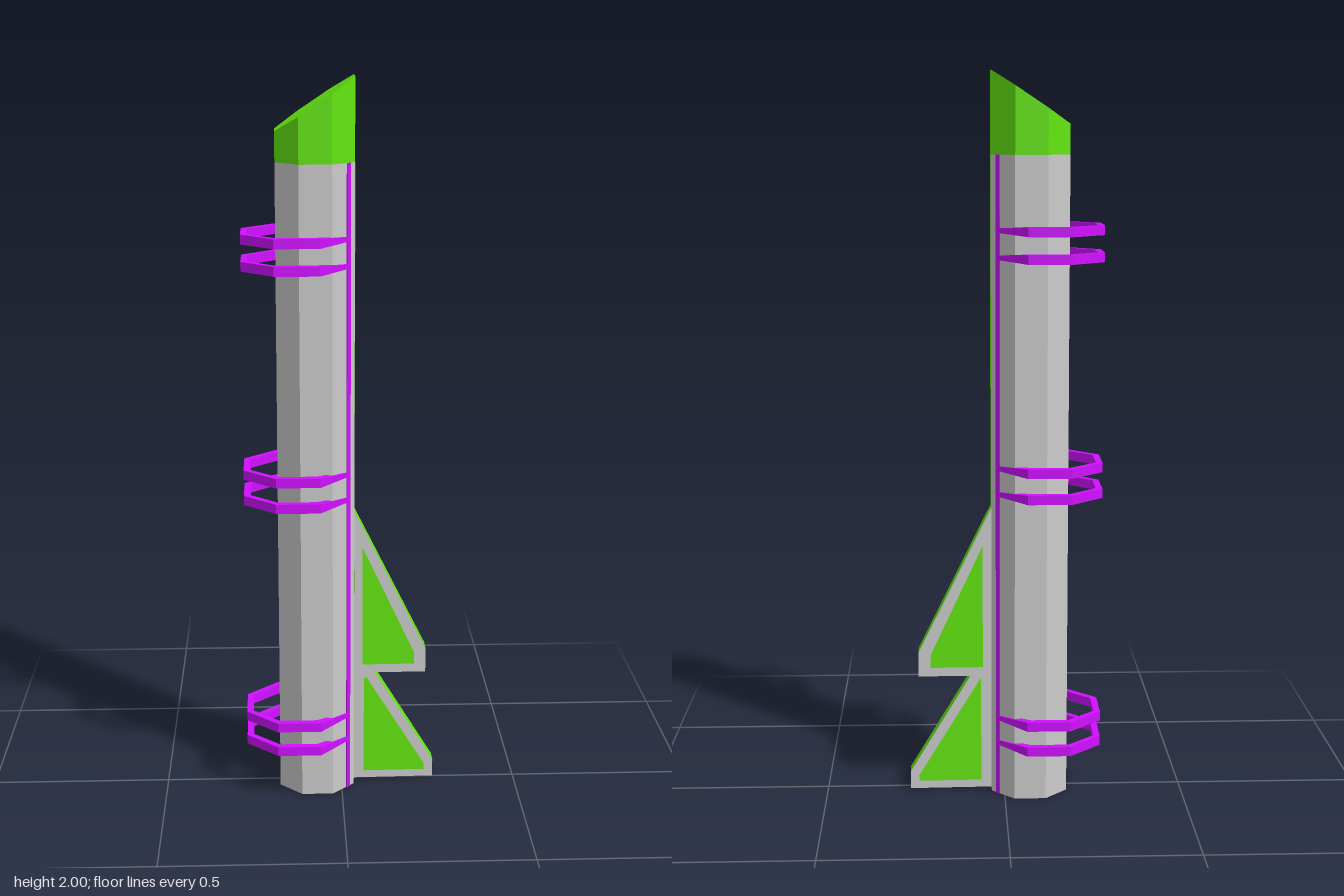
import * as THREE from 'three';

const CX = -0.07, CZ = -0.0025;      // tube axis
const APOTHEM = 0.1055;
const RADIUS = APOTHEM / Math.cos(Math.PI / 8);
const CAP_Y = 1.78;

const mat = (color) => new THREE.MeshStandardMaterial({ color, flatShading: true, side: THREE.DoubleSide });

function polygon(points) {
  return new THREE.Shape(points.map(([x, y]) => new THREE.Vector2(x, y)));
}

// Apply a rule to every vertex
function warp(geo, rule) {
  const p = geo.attributes.position, v = new THREE.Vector3();
  for (let i = 0; i < p.count; i++) {
    rule(v.fromBufferAttribute(p, i));
    p.setXYZ(i, v.x, v.y, v.z);
  }
  geo.computeVertexNormals();
  return geo;
}

// Octagonal prism with flats on the x and z axes
function octagon(y0, y1, open) {
  return new THREE.CylinderGeometry(RADIUS, RADIUS, y1 - y0, 8, 1, open)
    .rotateY(Math.PI / 8).translate(CX, (y0 + y1) / 2, CZ);
}

// Open octagonal band: a rectangular section swept around half outlines, thinner at the ends
function bandGeometry() {
  const half = [ // outer x, outer z, inner x, inner z, half height
    [0.022, 0.063, 0.010, 0.056, 0.006],
    [-0.06, 0.1465, -0.071, 0.126, 0.013],
    [-0.18, 0.1465, -0.175, 0.126, 0.013],
    [-0.268, 0.061, -0.25, 0.054, 0.013],
  ];
  const mirrored = half.map(([a, b, c, d, h]) => [a, -b, c, -d, h]).reverse();
  const sections = [...half, ...mirrored].map(([ox, oz, ix, iz, h]) => [
    [ox, h, oz + CZ], [ix, h, iz + CZ], [ix, -h, iz + CZ], [ox, -h, oz + CZ],
  ]);
  const pos = [];
  const quad = (a, b, c, d) => pos.push(...a, ...b, ...c, ...a, ...c, ...d);
  for (let i = 0; i < sections.length - 1; i++) {
    const s = sections[i], t = sections[i + 1];
    for (let j = 0; j < 4; j++) {
      const k = (j + 1) % 4;
      quad(s[j], s[k], t[k], t[j]);
    }
  }
  quad(...[...sections[0]].reverse());
  quad(...sections[sections.length - 1]);
  const geo = new THREE.BufferGeometry();
  geo.setAttribute('position', new THREE.Float32BufferAttribute(pos, 3));
  geo.computeVertexNormals();
  return geo;
}

export function createModel() {
  const model = new THREE.Group();
  model.name = 'finnedTube';
  const grey = mat(0xcccccc), green = mat(0x63e610), purple = mat(0xd010ff);

  const add = (name, geo, material, parent = model) => {
    const mesh = new THREE.Mesh(geo, material);
    mesh.name = name;
    parent.add(mesh);
    return mesh;
  };

  // Main tube
  add('tube', octagon(0, CAP_Y, false), grey);

  // Cap cut by a sloping plane
  const cap = warp(octagon(CAP_Y, 2, false).toNonIndexed(), (v) => {
    if (v.y > 1.9) v.y = 2 - (0.14 * (CX + APOTHEM - v.x)) / (2 * APOTHEM);
  });
  add('slantedCap', cap, green);

  // Tapering stripe on the fin side
  const stripe = new THREE.ShapeGeometry(polygon([
    [-0.026, 0.2], [0.026, 0.2], [0.026, 0.8], [0.043, CAP_Y], [-0.043, CAP_Y], [-0.026, 0.8],
  ])).rotateY(Math.PI / 2).translate(CX + APOTHEM + 0.001, 0, CZ);
  add('taperedStripe', stripe, green);

  // Thin vertical lines on the two diagonal faces next to the stripe
  for (const side of [1, -1]) {
    const line = add('sideLine', new THREE.BoxGeometry(0.014, CAP_Y, 0.004), purple);
    line.position.set(CX + 0.088, CAP_Y / 2, CZ + side * 0.062);
    line.rotation.y = side > 0 ? Math.PI / 4 : (3 * Math.PI) / 4;
  }

  // Fins: grey sides, green rims, green inset panels on both sides
  const fins = [
    {
      name: 'upperFin', z0: -0.03, z1: 0.02, shear: -0.012,
      outline: [[0.03, 0.83], [0.03, 0.3], [0.1, 0.335], [0.24, 0.335], [0.24, 0.405]],
      panel: [[0.06, 0.71], [0.06, 0.36], [0.207, 0.36], [0.207, 0.395]],
    },
    {
      name: 'lowerFin', z0: -0.029, z1: 0.014, shear: -0.022,
      outline: [[0.03, 0.345], [0.03, 0.005], [0.265, 0.005], [0.265, 0.055], [0.095, 0.335]],
      panel: [[0.065, 0.33], [0.065, 0.027], [0.24, 0.027], [0.24, 0.045]],
    },
  ];
  for (const f of fins) {
    const fin = new THREE.Group();
    fin.name = f.name;
    model.add(fin);
    const lean = (v) => { v.z += f.shear * (v.x - 0.036); };
    const plate = new THREE.ExtrudeGeometry(polygon(f.outline), { depth: f.z1 - f.z0, bevelEnabled: false });
    add('finPlate', warp(plate.translate(0, 0, f.z0), lean), [grey, green], fin);
    for (const z of [f.z0 - 0.001, f.z1 + 0.001]) {
      const panel = new THREE.ShapeGeometry(polygon(f.panel));
      if (z < 0) panel.index.array.reverse(); // face the back
      add('finPanel', warp(panel.translate(0, 0, z), lean), green, fin);
    }
  }

  // Three pairs of open bands
  const band = bandGeometry();
  for (const y of [0.188, 0.9, 1.545]) {
    const pair = new THREE.Group();
    pair.name = 'bandPair';
    model.add(pair);
    for (const dy of [-0.036, 0.036]) add('band', band, purple, pair).position.y = y + dy;
  }
  return model;
}
